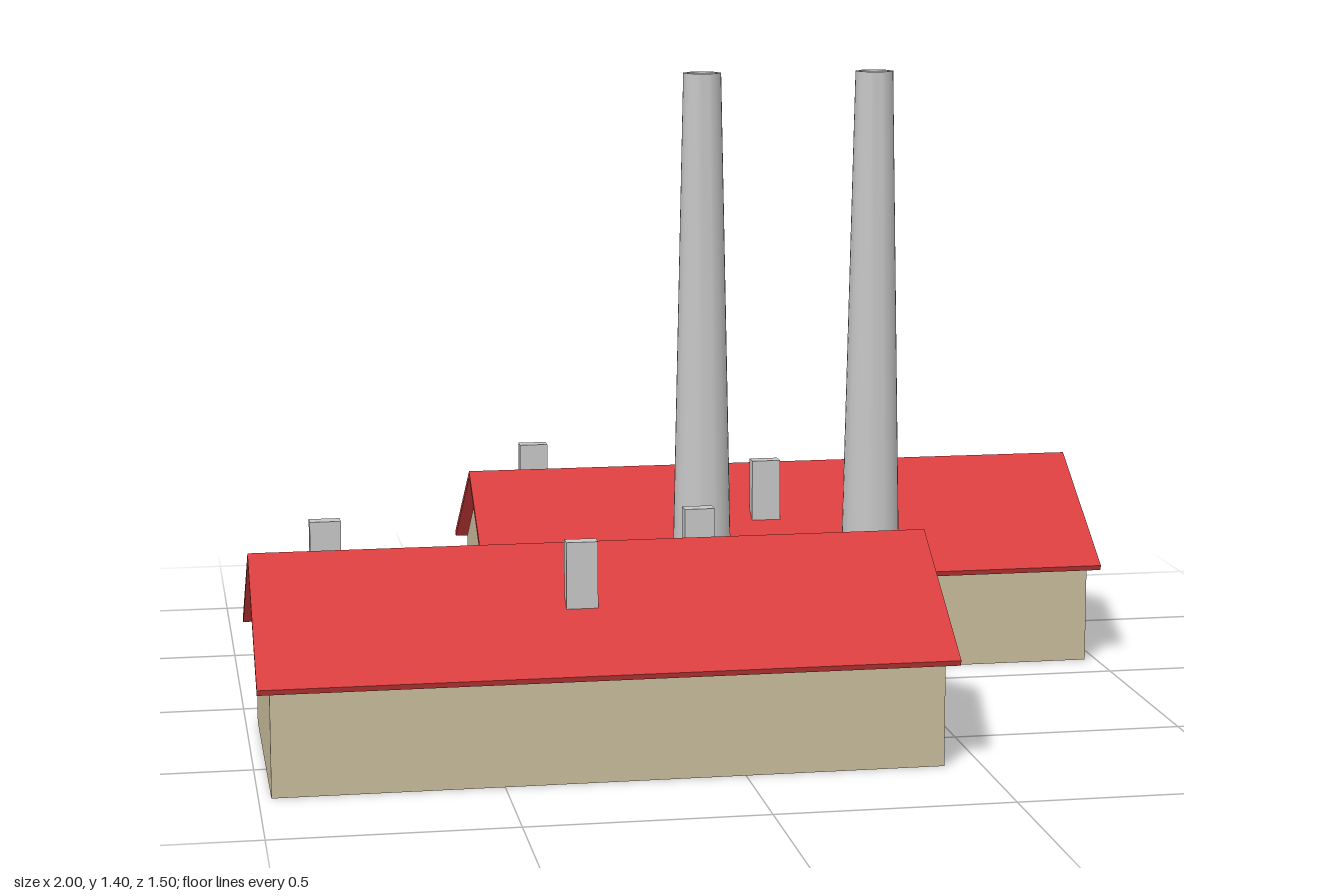
import * as THREE from 'three';
import { toCreasedNormals } from 'three/addons/utils/BufferGeometryUtils.js';

const material = (name, color) => {
  const m = new THREE.MeshStandardMaterial({ color });
  m.name = name;
  return m;
};

// Extrudes a (z, y) outline along x, centred on x = 0
function extrudeAlongX(points, length) {
  const shape = new THREE.Shape(points.map(([z, y]) => new THREE.Vector2(-z, y)));
  const geometry = new THREE.ExtrudeGeometry(shape, { depth: length, bevelEnabled: false });
  return geometry.translate(0, 0, -length / 2).rotateY(Math.PI / 2);
}

export function createModel() {
  const wallPaint = material('sand wall', 0xc8bb9b);
  const roofPaint = material('red roof', 0xd93e3e);
  const concrete = material('grey concrete', 0xc6c6c6);

  const model = new THREE.Group();
  model.name = 'factory';
  const add = (parent, name, geometry, mat, x = 0, y = 0, z = 0) => {
    const mesh = new THREE.Mesh(geometry, mat);
    mesh.name = name;
    mesh.position.set(x, y, z);
    parent.add(mesh);
    return mesh;
  };

  // Gabled walls, folded roof sheet and roof vents
  const wallGeometry = extrudeAlongX(
    [[-0.3, 0], [-0.3, 0.225], [0, 0.428], [0.3, 0.225], [0.3, 0]], 1.395);
  const roofGeometry = extrudeAlongX(
    [[-0.33, 0.232], [0, 0.442], [0.33, 0.232], [0.324, 0.22], [0, 0.428], [-0.324, 0.22]], 1.447);
  const ventGeometry = new THREE.BoxGeometry(0.066, 0.146, 0.035);
  const ventSpots = [[-0.553, -0.15], [0.256, -0.15], [-0.044, 0.15]];

  for (const [name, x, z] of [['frontHall', -0.2765, 0.4175], ['backHall', 0.2765, -0.4175]]) {
    const hall = new THREE.Group();
    hall.name = name;
    hall.position.set(x, 0, z);
    add(hall, 'walls', wallGeometry, wallPaint);
    add(hall, 'roof', roofGeometry, roofPaint);
    ventSpots.forEach(([vx, vz]) => add(hall, 'roofVent', ventGeometry, concrete, vx, 0.403, vz));
    model.add(hall);
  }

  // Tapered smokestacks with a recessed mouth
  const profile = [[0, 0], [0.072, 0], [0.042, 1.4], [0.033, 1.4], [0.033, 1.3], [0, 1.3]]
    .map(([r, y]) => new THREE.Vector2(r, y));
  const stackGeometry = toCreasedNormals(new THREE.LatheGeometry(profile, 32), 0.6);
  for (const x of [0.035, 0.425]) add(model, 'smokestack', stackGeometry, concrete, x);

  return model;
}
